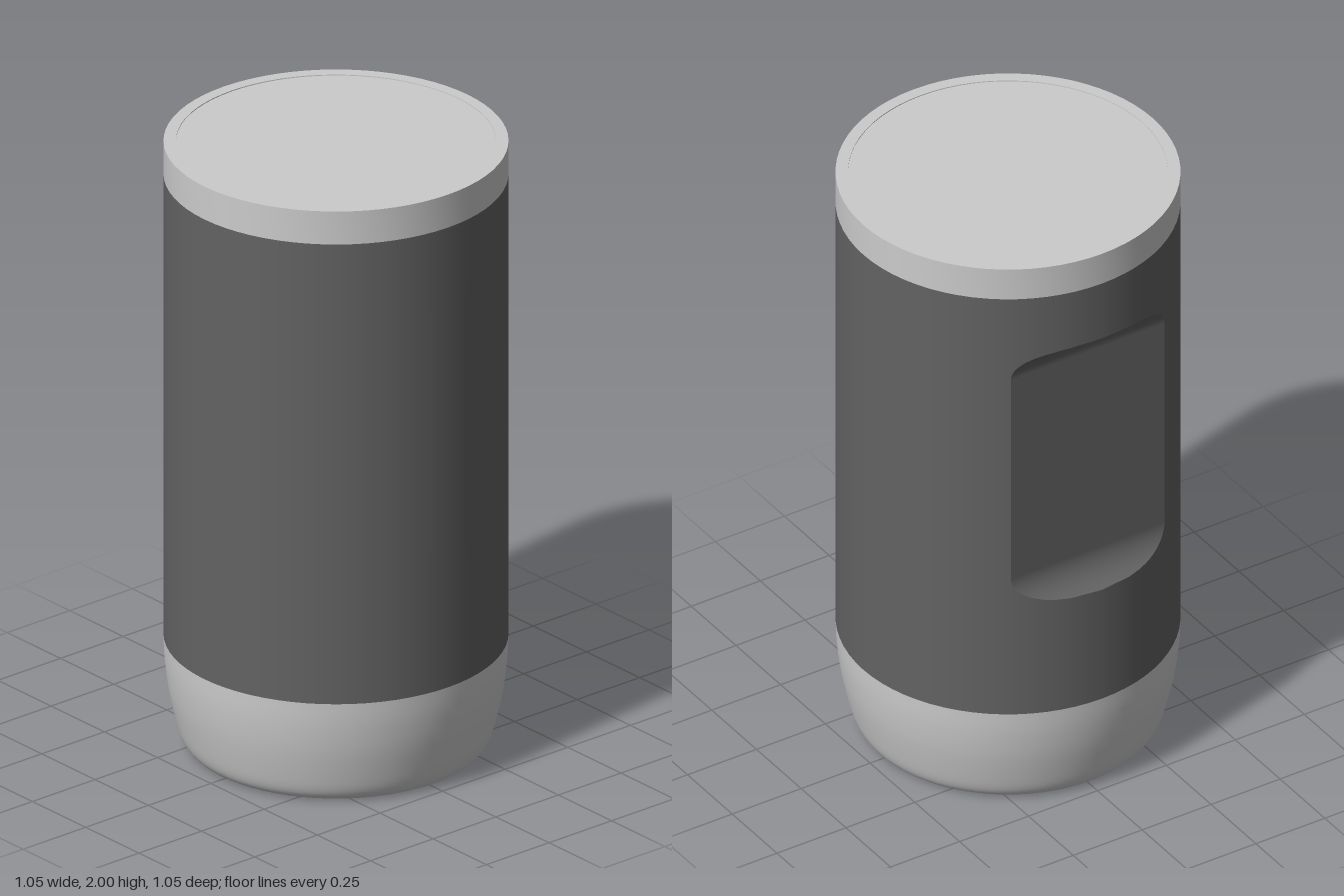
import * as THREE from 'three';
import { toCreasedNormals } from 'three/addons/utils/BufferGeometryUtils.js';

const R = 0.525, SIDES = 72;
const BODY_BOTTOM = 0.355, BODY_TOP = 1.89;

const grey = new THREE.MeshStandardMaterial({ color: 0xcccccc });
const dark = new THREE.MeshStandardMaterial({ color: 0x636363 });

function addMesh(group, name, geometry, material) {
  const mesh = new THREE.Mesh(geometry, material);
  mesh.name = name;
  group.add(mesh);
}

// Lathe from [radius, y] pairs listed from the bottom up
function lathe(pairs) {
  return new THREE.LatheGeometry(pairs.map(([r, y]) => new THREE.Vector2(r, y)), SIDES);
}

// Grid surface: u runs rightwards seen from outside, rows run downwards
function sheet(columns, rows, place) {
  const geometry = new THREE.PlaneGeometry(1, 1, columns, rows.length - 1);
  const position = geometry.attributes.position;
  for (let j = 0; j < rows.length; j++) {
    for (let i = 0; i <= columns; i++) {
      position.setXYZ(j * (columns + 1) + i, ...place(i / columns, rows[j]));
    }
  }
  geometry.computeVertexNormals();
  return geometry;
}

// Side profile of the rear recess: a flat face with a concave arc at each end
function recessRows() {
  const depth = 0.445, r = 0.1, top = 1.59, bottom = 0.855, steps = 12;
  const start = Math.acos((R - depth - r) / -r); // arc angle where it leaves the body
  const arc = (y, sign, t) => {
    const a = start * t;
    return { y: y + sign * r * Math.sin(a), z: -depth - r + r * Math.cos(a) };
  };
  const rows = [];
  for (let i = 0; i <= steps; i++) rows.push(arc(top, 1, 1 - i / steps));
  for (let i = 0; i <= steps; i++) rows.push(arc(bottom, -1, i / steps));
  return rows;
}

export function createModel() {
  const group = new THREE.Group();
  group.name = 'canister';

  // Rounded, tapering base
  const curve = new THREE.SplineCurve([
    [0.43, 0], [0.455, 0.01], [0.475, 0.04], [0.492, 0.1],
    [0.511, 0.19], [0.522, 0.28], [R, BODY_BOTTOM],
  ].map(([x, y]) => new THREE.Vector2(x, y)));
  const side = curve.getPoints(24).map((p) => [p.x, Math.max(0, p.y)]);
  addMesh(group, 'base', lathe([[0, 0], [0.42, 0], ...side]), grey);

  // Body wall, wrapping round from one edge of the recess to the other
  const rows = recessRows();
  const wallRows = [{ y: BODY_TOP, z: -R }, ...rows, { y: BODY_BOTTOM, z: -R }];
  const wall = sheet(SIDES, wallRows, (u, { y, z }) => {
    const half = Math.PI - Math.acos(Math.min(1, -z / R));
    const angle = half * (2 * u - 1);
    return [R * Math.sin(angle), y, R * Math.cos(angle)];
  });
  const p = wall.attributes.position;
  for (let i = 0; i < p.count; i++) {
    wall.attributes.normal.setXYZ(i, p.getX(i) / R, 0, p.getZ(i) / R);
  }
  addMesh(group, 'bodyWall', wall, dark);

  // Flat rear recess with curved ends
  const recess = sheet(8, rows, (u, { y, z }) => {
    const half = Math.sqrt(Math.max(0, R * R - z * z));
    return [half * (1 - 2 * u), y, z];
  });
  addMesh(group, 'rearRecess', recess, dark);

  // Cap with a shallow inset top
  const cap = lathe([[0, BODY_TOP], [R, BODY_TOP], [R, 2], [0.487, 2], [0.487, 1.997], [0, 1.997]]);
  addMesh(group, 'cap', toCreasedNormals(cap, 0.6), grey);

  return group;
}
